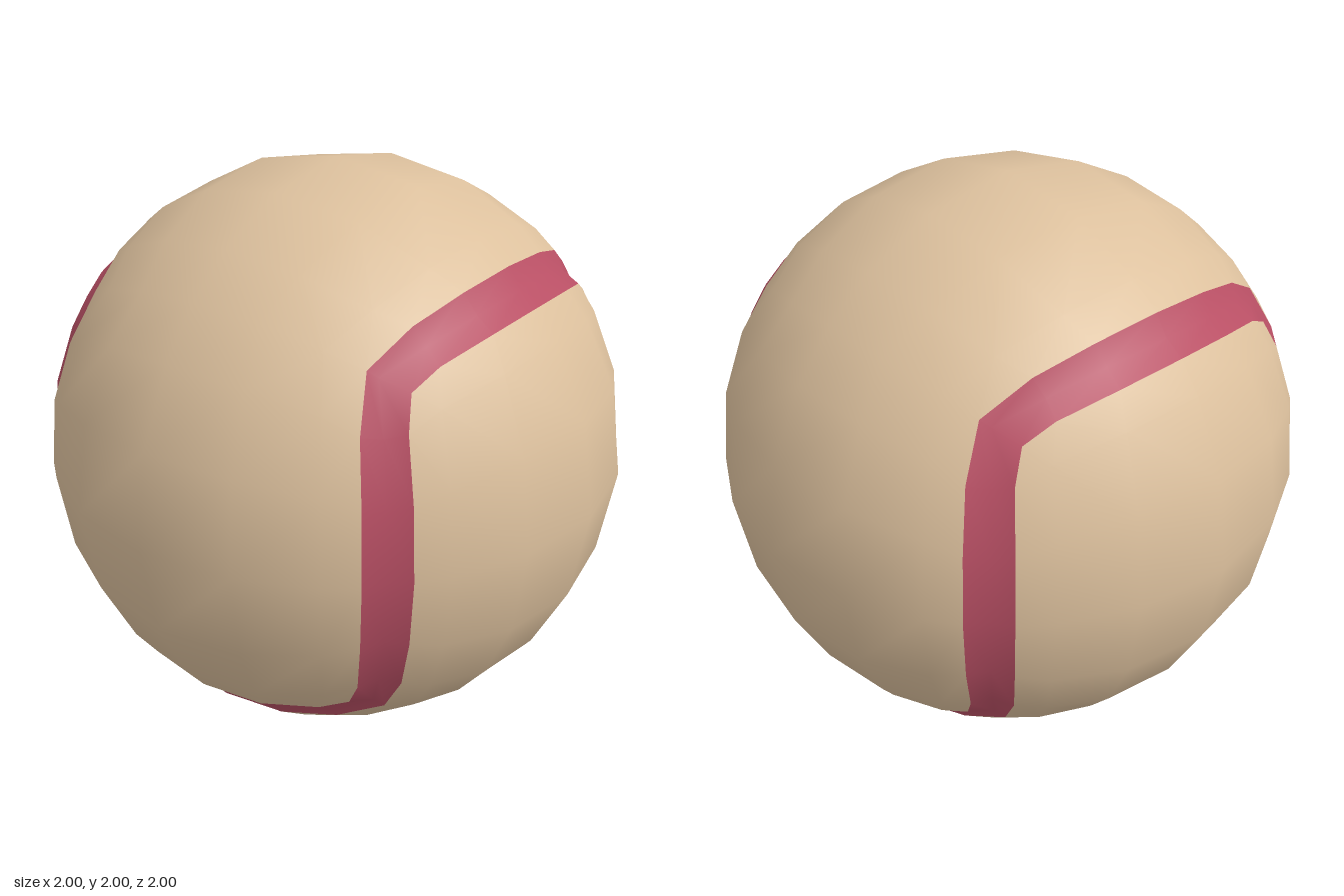
import * as THREE from 'three';
import { mergeVertices } from 'three/addons/utils/BufferGeometryUtils.js';

const N = 6;            // cells along each side of a cube face
const GROOVE = 0.982;   // radius at the bottom of the seam groove

// The seam follows eight of the twelve edges of a cube inflated to a ball
const isSeam = (n, d) => {
  const s = n.clone().add(d);
  return (s.x && s.z) || (s.x && s.y > 0) || (s.z && s.y < 0);
};

function addQuad(out, a, b, c, d) {
  for (const p of [a, b, c, a, c, d]) out.push(p.x, p.y, p.z);
}

function buildGeometry(positions) {
  const g = new THREE.BufferGeometry();
  g.setAttribute('position', new THREE.Float32BufferAttribute(positions, 3));
  const merged = mergeVertices(g, 1e-4);
  merged.computeVertexNormals();
  return merged;
}

export function createModel() {
  const leather = new THREE.MeshStandardMaterial({ color: 0xdcc09d });
  leather.name = 'tan cover';
  const thread = new THREE.MeshStandardMaterial({ color: 0xb84f64 });
  thread.name = 'red seam';

  const cover = [], seam = [];
  const axes = [new THREE.Vector3(1, 0, 0), new THREE.Vector3(0, 1, 0), new THREE.Vector3(0, 0, 1)];

  for (let k = 0; k < 3; k++) for (const sign of [1, -1]) {
    const n = axes[k].clone().multiplyScalar(sign);
    const U = axes[(k + 1) % 3];
    const V = new THREE.Vector3().crossVectors(n, U);
    const onSphere = (u, v, r = 1) =>
      n.clone().addScaledVector(U, u).addScaledVector(V, v).setLength(r);
    const coord = i => (2 * i) / N - 1;
    const seamAt = (axis, t) => Math.abs(t) === 1 && isSeam(n, axis.clone().multiplyScalar(t));

    // Cover point, pulled in from the face border where a seam runs
    const point = (i, j) => {
      let u = coord(i), v = coord(j);
      const su = seamAt(U, u), sv = seamAt(V, v);
      const corner = Math.abs(u) === 1 && Math.abs(v) === 1;
      if (su && sv) { u *= 0.815; v *= 0.815; }
      else if (su) { u *= corner ? 0.915 : 0.857; v *= corner ? 1 : 0.95; }
      else if (sv) { v *= corner ? 0.915 : 0.857; u *= corner ? 1 : 0.95; }
      return onSphere(u, v);
    };
    const groove = (i, j) => onSphere(coord(i), coord(j), GROOVE);

    // Cover panel
    for (let i = 0; i < N; i++) for (let j = 0; j < N; j++)
      addQuad(cover, point(i, j), point(i + 1, j), point(i + 1, j + 1), point(i, j + 1));

    // Half of the seam groove along each seamed border, walked anticlockwise
    const borders = [
      [V, -1, t => [t, 0]], [U, 1, t => [N, t]],
      [V, 1, t => [N - t, N]], [U, -1, t => [0, N - t]],
    ];
    for (const [axis, side, at] of borders) {
      if (!seamAt(axis, side)) continue;
      for (let t = 0; t < N; t++)
        addQuad(seam, groove(...at(t)), groove(...at(t + 1)), point(...at(t + 1)), point(...at(t)));
    }
  }

  // The cover is shaded as a true sphere
  const coverGeo = buildGeometry(cover);
  const p = coverGeo.attributes.position, normal = coverGeo.attributes.normal;
  const w = new THREE.Vector3();
  for (let i = 0; i < p.count; i++) {
    w.fromBufferAttribute(p, i).normalize();
    normal.setXYZ(i, w.x, w.y, w.z);
  }

  const ball = new THREE.Group();
  ball.name = 'ball';
  const coverMesh = new THREE.Mesh(coverGeo, leather);
  coverMesh.name = 'cover';
  const seamMesh = new THREE.Mesh(buildGeometry(seam), thread);
  seamMesh.name = 'seam';
  ball.add(coverMesh, seamMesh);
  ball.position.y = 1;

  const model = new THREE.Group();
  model.name = 'seamedBall';
  model.add(ball);
  return model;
}
